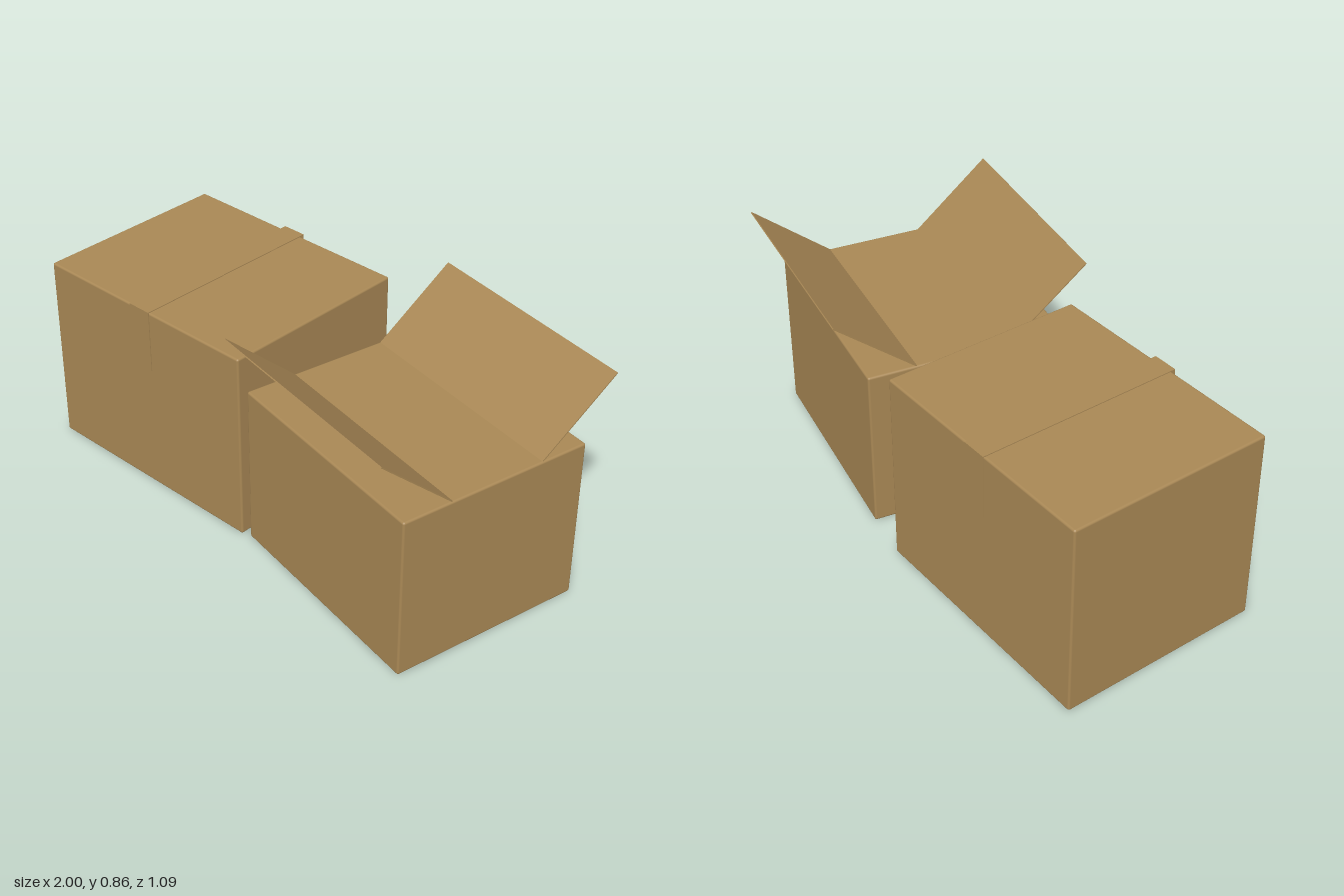
import * as THREE from 'three';
import { RoundedBoxGeometry } from 'three/addons/geometries/RoundedBoxGeometry.js';

export function createModel() {
  const model = new THREE.Group();
  model.name = 'cardboardBoxes';
  const cardboard = new THREE.MeshStandardMaterial({ color: 0xa98855 });
  cardboard.name = 'cardboard';

  const add = (parent, name, geometry, x, y, z) => {
    const mesh = new THREE.Mesh(geometry, cardboard);
    mesh.name = name;
    mesh.position.set(x, y, z);
    parent.add(mesh);
    return mesh;
  };
  // Carton with softly rounded edges, standing on the ground
  const carton = (parent, name, w, h, d) =>
    add(parent, name, new RoundedBoxGeometry(w, h, d, 2, 0.008), 0, h / 2, 0);

  // Closed box
  const closed = new THREE.Group();
  closed.name = 'closedBox';
  closed.position.set(-0.522, 0, -0.094);
  model.add(closed);
  const H = 0.732, D = 0.762, gap = 0.007, t = 0.003;
  carton(closed, 'closedCarton', 0.955, H, D);

  // Sealing tape: one strip over the top and a tab down the front and back
  const topY = H + gap, tabEnd = 0.502;
  add(closed, 'tapeTop', new THREE.BoxGeometry(0.095, t, D + 2 * gap + t), 0, topY, 0);
  for (const side of [1, -1]) {
    add(closed, side > 0 ? 'tapeFront' : 'tapeBack',
      new THREE.BoxGeometry(0.095, topY - tabEnd, t), 0, (topY + tabEnd) / 2, side * (D / 2 + gap));
  }

  // Open box, turned a little
  const open = new THREE.Group();
  open.name = 'openBox';
  open.position.set(0.483, 0, 0.008);
  open.rotation.y = -0.211;
  model.add(open);
  carton(open, 'openCarton', 0.864, 0.616, 0.732);

  // Raised flaps, each a thin sheet from its hinge to its free edge: [z, y]
  const flap = (name, [z0, y0], [z1, y1]) => {
    const length = Math.hypot(z1 - z0, y1 - y0);
    const mesh = add(open, name, new THREE.BoxGeometry(0.855, 0.004, length), 0, (y0 + y1) / 2, (z0 + z1) / 2);
    mesh.rotation.x = -Math.atan2(y1 - y0, z1 - z0);
  };
  flap('frontFlap', [0.175, 0.614], [0.453, 0.858]);
  flap('backFlap', [-0.186, 0.614], [-0.475, 0.842]);

  return model;
}
